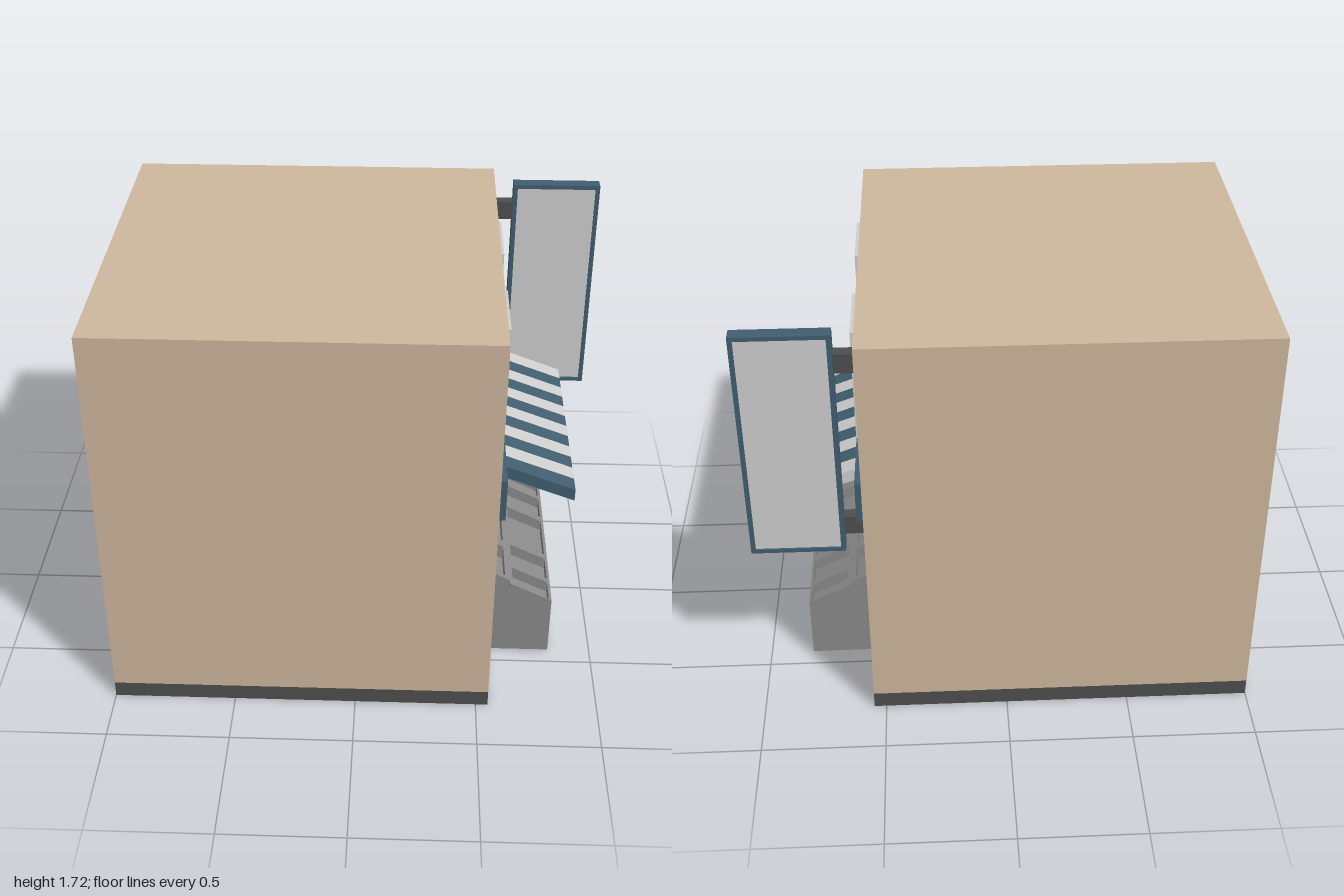
import * as THREE from 'three';

const mat = (name, color) => {
  const m = new THREE.MeshStandardMaterial({ color });
  m.name = name;
  return m;
};

export function createModel() {
  const tan = mat('tan wall', 0xcdb79d);
  const blue = mat('slate blue', 0x415e70);
  const light = mat('light grey', 0xcfcfcf);
  const grey = mat('stand grey', 0x8a8a8a);
  const dark = mat('dark grey', 0x4e4e4e);
  const glassMat = mat('window glass', 0x8aa3b0);

  const root = new THREE.Group();
  root.name = 'shop';
  const group = (name) => {
    const g = new THREE.Group();
    g.name = name;
    root.add(g);
    return g;
  };
  const add = (parent, name, geo, material) => {
    const m = new THREE.Mesh(geo, material);
    m.name = name;
    parent.add(m);
  };
  // Box given by its ranges along x, y and z
  const box = (parent, name, material, [x0, x1], [y0, y1], [z0, z1]) => {
    const geo = new THREE.BoxGeometry(x1 - x0, y1 - y0, z1 - z0);
    geo.translate((x0 + x1) / 2, (y0 + y1) / 2, (z0 + z1) / 2);
    add(parent, name, geo, material);
  };
  // Side profile in x, y drawn out from z0 to z1
  const slab = (parent, name, material, pts, z0, z1) => {
    const shape = new THREE.Shape(pts.map(([x, y]) => new THREE.Vector2(x, y)));
    const geo = new THREE.ExtrudeGeometry(shape, { depth: z1 - z0, bevelEnabled: false });
    add(parent, name, geo.translate(0, 0, z0), material);
  };
  // Upright panel facing +x, outlined in (-z, y), with rectangular holes
  const rect = (u0, u1, y0, y1) => [[u0, y0], [u1, y0], [u1, y1], [u0, y1]].map((p) => new THREE.Vector2(...p));
  const panel = (parent, name, material, outline, holes, x0, x1) => {
    const shape = new THREE.Shape(outline);
    holes.forEach((h) => shape.holes.push(new THREE.Path(h)));
    const geo = new THREE.ExtrudeGeometry(shape, { depth: x1 - x0, bevelEnabled: false });
    add(parent, name, geo.rotateY(Math.PI / 2).translate(x0, 0, 0), material);
  };

  const W = 0.773; // half width of the building
  const D = 0.465; // half width of the shop opening
  const BACK = 0.05; // back of the shop opening
  const FACE = 0.55; // street wall
  const windows = [-0.312, 0.312];

  // Building
  const building = group('building');
  box(building, 'rearBlock', tan, [-1, BACK], [0.07, 1.72], [-W, W]);
  const outline = [[-W, 0.07], [-D, 0.07], [-D, 0.946], [D, 0.946], [D, 0.07], [W, 0.07], [W, 1.72], [-W, 1.72]];
  panel(building, 'streetWall', tan, outline.map((p) => new THREE.Vector2(...p)),
    windows.map((u) => rect(u - 0.135, u + 0.135, 1.16, 1.59)), BACK, FACE);
  box(building, 'rearPlinth', dark, [-1, BACK], [0, 0.07], [-W, W]);
  box(building, 'rightPlinth', dark, [BACK, FACE], [0, 0.07], [D, W]);
  box(building, 'leftPlinth', dark, [BACK, FACE], [0, 0.07], [-W, -D]);

  // Blue lining of the shop opening
  const lining = group('shopInterior');
  box(lining, 'backLining', blue, [BACK, BACK + 0.006], [0, 0.945], [-D, D]);
  box(lining, 'ceilingLining', blue, [BACK, FACE], [0.938, 0.945], [-D, D]);
  for (const s of [-1, 1]) {
    box(lining, 'sideLining', blue, [BACK, FACE], [0, 0.945], [s * D - 0.003, s * D + 0.003]);
  }
  box(root, 'fascia', blue, [FACE, 0.575], [0.945, 1.125], [-0.757, 0.757]);

  // Windows with deep frames
  for (const u of windows) {
    const win = group('window');
    panel(win, 'windowFrame', light, rect(u - 0.155, u + 0.155, 1.14, 1.612),
      [rect(u - 0.115, u + 0.115, 1.18, 1.572)], 0.51, 0.575);
    box(win, 'windowGlass', glassMat, [0.51, 0.517], [1.17, 1.58], [-u - 0.125, -u + 0.125]);
  }

  // Striped awning
  const awning = group('awning');
  const stripe = (2 * D) / 12;
  const awningProfile = [[0.55, 0.953], [0.87, 0.832], [0.87, 0.885], [0.55, 1.005]];
  for (let i = 0; i < 12; i++) {
    const z1 = D - i * stripe;
    slab(awning, 'awningStripe', i % 2 ? light : blue, awningProfile, z1 - stripe, z1);
  }

  // Hanging sign
  const sign = group('hangingSign');
  const zs = [-0.665, -0.607];
  box(sign, 'signBottom', blue, [0.63, 1], [0.74, 0.757], zs);
  box(sign, 'signTop', blue, [0.63, 1], [1.7, 1.717], zs);
  box(sign, 'signInnerSide', blue, [0.63, 0.648], [0.757, 1.7], zs);
  box(sign, 'signOuterSide', blue, [0.982, 1], [0.757, 1.7], zs);
  box(sign, 'signPanel', light, [0.648, 0.982], [0.757, 1.7], [-0.658, -0.614]);
  for (const y of [0.822, 1.555]) {
    box(sign, 'signBracket', dark, [FACE, 0.63], [y, y + 0.08], [-0.661, -0.611]);
  }

  // Stepped display stand
  const stand = group('displayStand');
  const H = 0.43;
  slab(stand, 'standBody', grey, [[0.06, 0.005], [0.82, 0.005], [0.82, 0.23], [0.64, 0.315],
    [0.64, 0.32], [0.37, 0.46], [0.37, 0.525], [0.06, 0.525]], -H, H);

  // Sloped tray: end rails plus dividers between the openings
  const tray = (name, [x0, y0], [x1, y1], depth, rail, openings) => {
    const piece = (part, a, b, z0, z1) => {
      const y = (x) => y0 + ((x - x0) / (x1 - x0)) * (y1 - y0);
      slab(stand, name + part, grey, [[a, y(a) - depth], [b, y(b) - depth], [b, y(b)], [a, y(a)]], z0, z1);
    };
    piece('BackRail', x0, x0 + rail, -H, H);
    piece('FrontRail', x1 - rail, x1, -H, H);
    let edge = -H;
    for (const [z0, z1] of [...openings, [H, H]]) {
      if (z0 > edge) piece('Divider', x0 + rail, x1 - rail, edge, z0);
      edge = z1;
    }
  };
  tray('rearTray', [0.37, 0.525], [0.638, 0.385], 0.066, 0.02,
    [[-0.41, -0.215], [-0.172, 0.172], [0.215, 0.41]]);
  tray('frontTray', [0.64, 0.368], [0.82, 0.28], 0.052, 0.012,
    [[-0.425, -0.315], [-0.29, -0.155], [-0.12, 0.12], [0.155, 0.29], [0.315, 0.425]]);

  return root;
}
